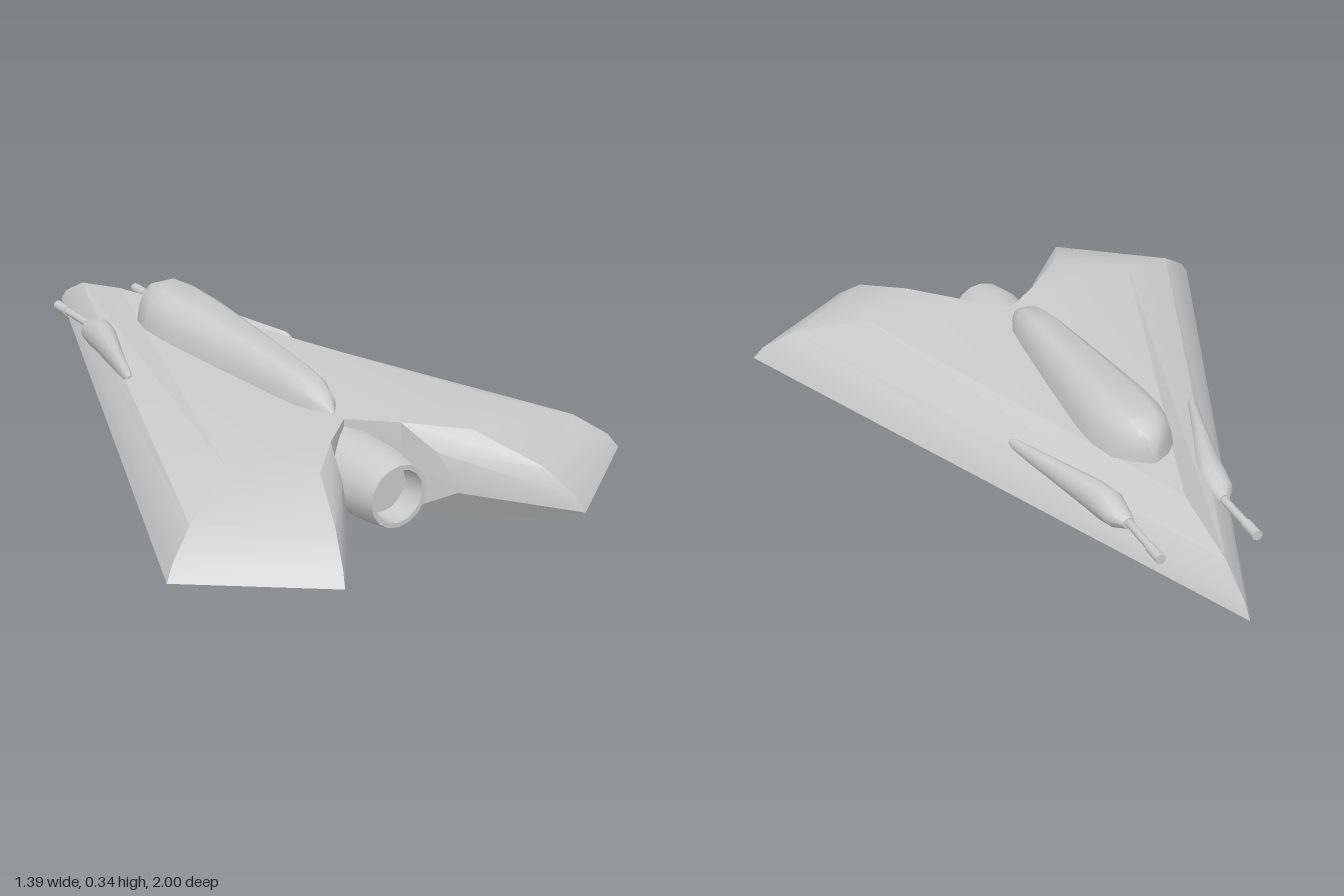
import * as THREE from 'three';
import { toCreasedNormals } from 'three/addons/utils/BufferGeometryUtils.js';

const material = new THREE.MeshStandardMaterial({ color: 0xcccccc });

function addMesh(parent, name, geometry) {
  const mesh = new THREE.Mesh(geometry, material);
  mesh.name = name;
  parent.add(mesh);
  return mesh;
}

function fromTriangles(positions, crease) {
  const g = new THREE.BufferGeometry();
  g.setAttribute('position', new THREE.Float32BufferAttribute(positions, 3));
  return toCreasedNormals(g, crease);
}

// Skin closed rings (counter-clockwise seen from +z, ordered by rising z) and cap both ends
function loft(rings, crease) {
  const pos = [];
  const tri = (a, b, c) => pos.push(...a, ...b, ...c);
  const n = rings[0].length;
  for (let i = 0; i < rings.length - 1; i++) {
    for (let j = 0; j < n; j++) {
      const k = (j + 1) % n, lo = rings[i], hi = rings[i + 1];
      tri(lo[j], lo[k], hi[k]);
      tri(lo[j], hi[k], hi[j]);
    }
  }
  const first = rings[0], last = rings[rings.length - 1];
  for (let j = 1; j < n - 1; j++) {
    tri(first[0], first[j + 1], first[j]);
    tri(last[0], last[j], last[j + 1]);
  }
  return fromTriangles(pos, crease);
}

// Arrowhead hull: half outlines [x, z] from nose round the wing to the rear notch
function hullGeometry() {
  const bottom = [[0, -0.64], [0.49, 0.6], [0.265, 0.77], [0.125, 0.6], [0.125, 0.6], [0, 0.48]];
  const edge = [[0, -1], [0.695, 0.75], [0.365, 1], [0.17, 0.74], [0.115, 0.585], [0, 0.48]];
  const top = [[0, -0.64], [0.41, 0.57], [0.235, 0.71], [0.108, 0.575], [0.108, 0.575], [0, 0.48]];
  const blend = (t, y) => edge.map(([x, z], i) =>
    [x + (top[i][0] - x) * t, y, z + (top[i][1] - z) * t]);
  const rings = [
    bottom.map(([x, z]) => [x, 0, z]),
    blend(0, 0.088), blend(0.09, 0.125), blend(0.37, 0.182), blend(1, 0.236),
  ];
  const pos = [];
  // each triangle is written together with its mirror image
  const tri = (a, b, c) => {
    pos.push(...a, ...b, ...c);
    for (const [x, y, z] of [a, c, b]) pos.push(-x, y, z);
  };
  for (let r = 0; r < rings.length - 1; r++) {
    const lo = rings[r], hi = rings[r + 1];
    for (let i = 0; i < 5; i++) {
      tri(lo[i], hi[i], hi[i + 1]);
      tri(lo[i], hi[i + 1], lo[i + 1]);
    }
  }
  // flat deck and belly, fanned from the inner corner of the wing
  const b = rings[0], t = rings[4];
  for (const [i, j] of [[5, 0], [0, 1], [1, 2]]) {
    tri(t[4], t[j], t[i]);
    tri(b[4], b[i], b[j]);
  }
  return fromTriangles(pos, 0.5);
}

// Long canopy: faceted half-round section scaled along z by [z, half width, height]
function canopyGeometry() {
  const section = [[1, 0], [0.92, 0.42], [0.75, 0.76], [0.42, 1],
    [-0.42, 1], [-0.75, 0.76], [-0.92, 0.42], [-1, 0]];
  const stations = [
    [-0.468, 0.01, 0.04], [-0.44, 0.052, 0.078], [-0.4, 0.085, 0.1], [-0.32, 0.108, 0.103],
    [-0.22, 0.108, 0.099], [0, 0.09, 0.088], [0.25, 0.066, 0.074], [0.34, 0.055, 0.062],
    [0.4, 0.032, 0.036], [0.435, 0.004, 0.004],
  ];
  return loft(stations.map(([z, w, h]) => section.map(([x, y]) => [x * w, 0.234 + y * h, z])), 0.75);
}

// Gun pod: ellipses [z, centre x, centre y, x radius, y radius] leaning outward to the tail
function gunPodGeometry(side) {
  const stations = [
    [-0.6, 0.133, 0.165, 0.016, 0.016], [-0.56, 0.143, 0.165, 0.035, 0.031],
    [-0.51, 0.146, 0.168, 0.042, 0.045], [-0.45, 0.16, 0.17, 0.038, 0.045],
    [-0.3, 0.212, 0.178, 0.023, 0.031], [-0.165, 0.257, 0.184, 0.013, 0.019],
    [-0.145, 0.262, 0.185, 0.007, 0.011],
  ];
  const sides = 12;
  return loft(stations.map(([z, cx, cy, rx, ry]) => Array.from({ length: sides }, (_, i) => {
    const a = (i / sides) * Math.PI * 2;
    return [side * cx + rx * Math.cos(a), cy + ry * Math.sin(a), z];
  })), 0.8);
}

export function createModel() {
  const model = new THREE.Group();
  model.name = 'arrowheadSpacecraft';

  addMesh(model, 'hull', hullGeometry());
  addMesh(model, 'canopy', canopyGeometry());

  // Rear engine with a recessed nozzle
  const profile = [[0.1, 0.42], [0.1, 0.64], [0.085, 0.72], [0.072, 0.72], [0.07, 0.65], [0, 0.65]]
    .map(([r, z]) => new THREE.Vector2(r, z));
  const engine = new THREE.LatheGeometry(profile, 16).rotateX(Math.PI / 2);
  addMesh(model, 'engine', toCreasedNormals(engine, 0.6)).position.y = 0.115;

  // Gun on each side of the nose
  for (const side of [1, -1]) {
    const gun = new THREE.Group();
    gun.name = side > 0 ? 'leftGun' : 'rightGun';
    addMesh(gun, 'pod', gunPodGeometry(side));
    for (const [name, r, z0, z1] of [['barrel', 0.011, -0.73, -0.58], ['muzzle', 0.014, -0.78, -0.72]]) {
      const tube = new THREE.CylinderGeometry(r, r, z1 - z0, 10).rotateX(Math.PI / 2);
      addMesh(gun, name, tube).position.set(side * 0.132, 0.166, (z0 + z1) / 2);
    }
    model.add(gun);
  }
  return model;
}
